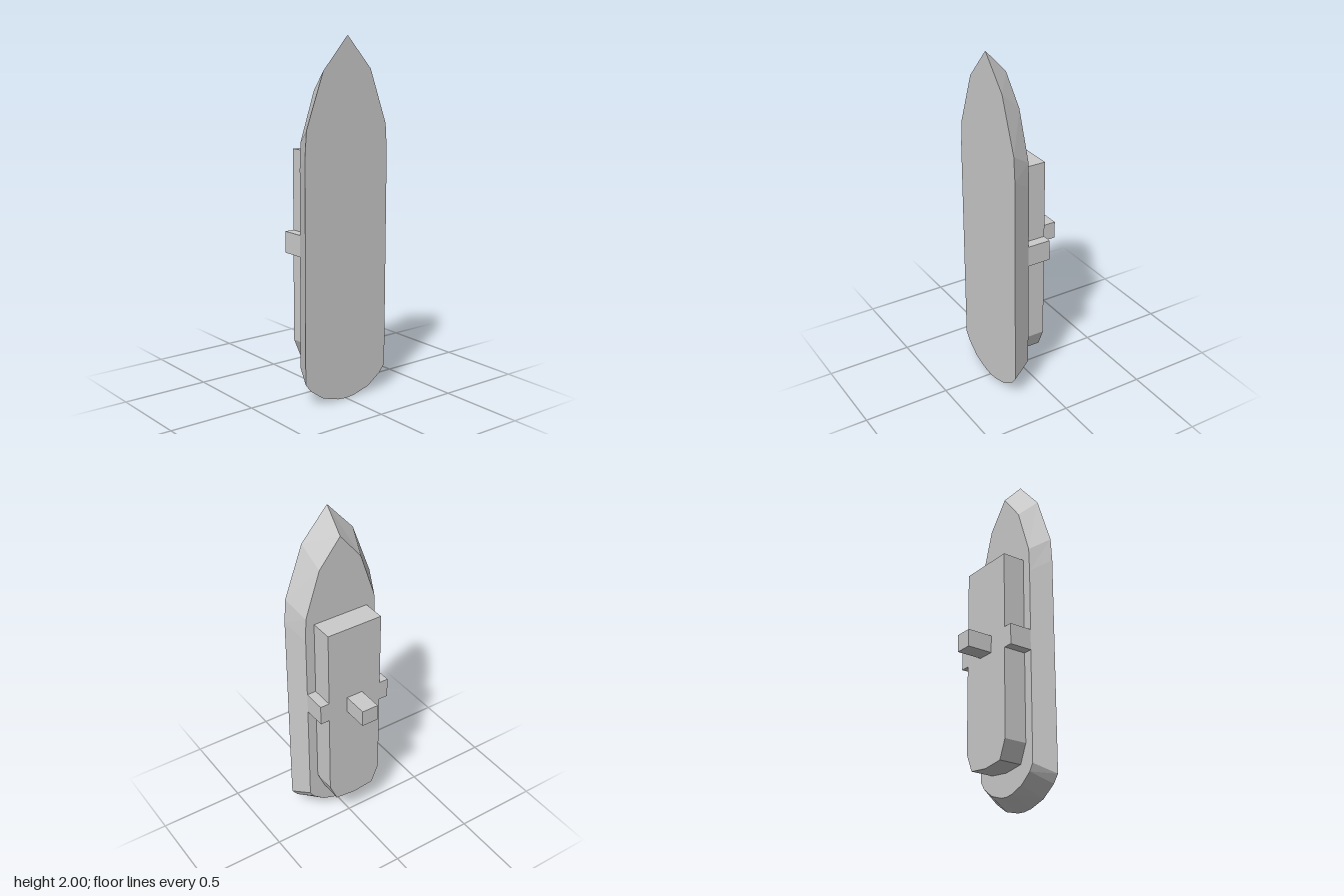
import * as THREE from 'three';

const material = new THREE.MeshStandardMaterial({ color: 0xcccccc, flatShading: true });

// Closes a right-hand (+x) half outline, listed top to bottom, into a counter-clockwise loop.
function mirrorOutline(half) {
  const left = half.map(([x, y]) => [-x, y]);
  const right = half.filter(([x]) => x > 0).reverse();
  return [...left, ...right];
}

// Solid between two convex outlines with matching points.
function loft(front, back, zFront, zBack) {
  const p = [];
  const n = front.length;
  const f = front.map(([x, y]) => [x, y, zFront]);
  const b = back.map(([x, y]) => [x, y, zBack]);
  const tri = (a, c, d) => p.push(...a, ...c, ...d);
  for (let i = 0; i < n; i++) {
    const j = (i + 1) % n;
    tri(f[i], b[i], b[j]);
    tri(f[i], b[j], f[j]);
    if (i > 0 && j > 0) {
      tri(f[0], f[i], f[j]);
      tri(b[0], b[j], b[i]);
    }
  }
  const g = new THREE.BufferGeometry();
  g.setAttribute('position', new THREE.Float32BufferAttribute(p, 3));
  g.computeVertexNormals();
  return g;
}

function addPart(group, name, geometry) {
  const mesh = new THREE.Mesh(geometry, material);
  mesh.name = name;
  group.add(mesh);
  return mesh;
}

export function createModel() {
  const model = new THREE.Group();
  model.name = 'pointedPlaque';

  // Pointed body, tapering towards the back
  const front = mirrorOutline([[0, 2], [0.16, 1.82], [0.27, 1.52], [0.28, 1.38],
    [0.28, 0.14], [0.245, 0.095], [0.16, 0.035], [0.055, 0.005], [0, 0]]);
  const back = mirrorOutline([[0, 1.87], [0.13, 1.71], [0.22, 1.44], [0.225, 1.3],
    [0.225, 0.19], [0.2, 0.15], [0.13, 0.095], [0.045, 0.065], [0, 0.06]]);
  addPart(model, 'body', loft(front, back, 0.2, 0.08));

  // Raised back plate with a short arm on each side
  const plateShape = new THREE.Shape(mirrorOutline([[0, 1.39], [0.17, 1.39], [0.17, 0.94],
    [0.225, 0.94], [0.225, 0.82], [0.17, 0.82], [0.17, 0.31], [0.125, 0.205], [0, 0.19]])
    .map(([x, y]) => new THREE.Vector2(x, y)));
  const plate = new THREE.ExtrudeGeometry(plateShape, { depth: 0.135, bevelEnabled: false });
  addPart(model, 'backPlate', plate).position.z = -0.055;

  // Peg standing out of the back plate
  addPart(model, 'peg', new THREE.BoxGeometry(0.1, 0.1, 0.15)).position.set(0, 0.88, -0.13);

  return model;
}
